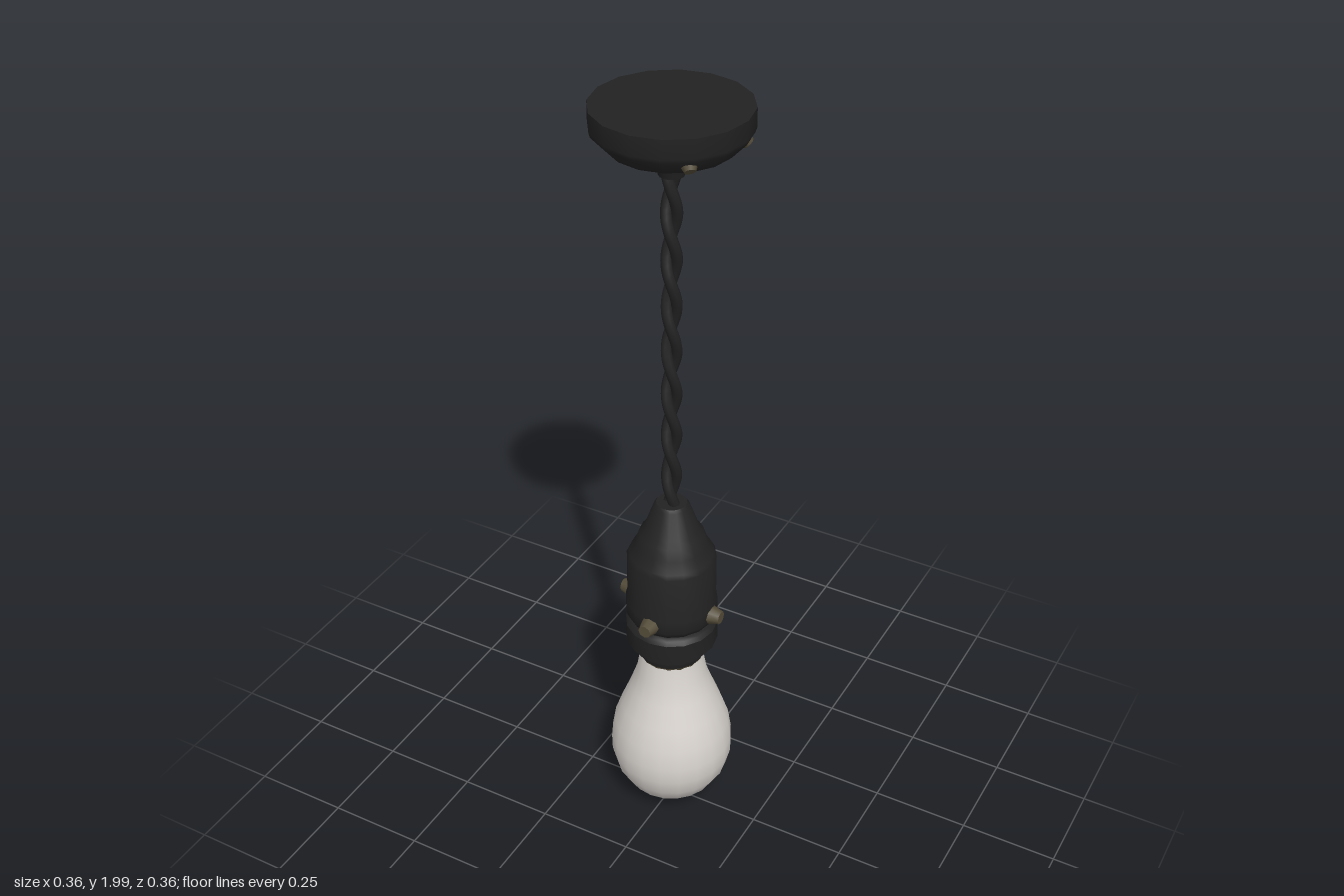
import * as THREE from 'three';
import { toCreasedNormals } from 'three/addons/utils/BufferGeometryUtils.js';

const black = new THREE.MeshStandardMaterial({ name: 'black', color: 0x222222 });
const brass = new THREE.MeshStandardMaterial({ name: 'agedBrass', color: 0x554d3a });
const glass = new THREE.MeshStandardMaterial({ name: 'frostedGlass', color: 0xd8d3ce });

// Turned part from [radius, y] pairs, listed bottom to top
function turned(name, profile, material, sides = 16, crease = 0.6) {
  const points = profile.map(([r, y]) => new THREE.Vector2(r, y));
  const geometry = toCreasedNormals(new THREE.LatheGeometry(points, sides), crease);
  const mesh = new THREE.Mesh(geometry, material);
  mesh.name = name;
  return mesh;
}

// Domed screw head pointing away from the axis, tilted downwards by tilt
function screw(name, angle, radius, y, size, length, tilt = 0) {
  const mesh = new THREE.Mesh(
    new THREE.CylinderGeometry(size * 0.65, size, length, 8), brass);
  mesh.name = name;
  mesh.position.set(Math.cos(angle) * radius, y, Math.sin(angle) * radius);
  const outward = new THREE.Vector3(
    Math.cos(angle) * Math.cos(tilt), -Math.sin(tilt), Math.sin(angle) * Math.cos(tilt));
  mesh.quaternion.setFromUnitVectors(new THREE.Vector3(0, 1, 0), outward);
  return mesh;
}

// One strand of the twisted cord
function strand(phase) {
  const points = [];
  const steps = 48;
  for (let i = 0; i <= steps; i++) {
    const t = i / steps;
    const a = phase + t * Math.PI * 2 * 4;
    points.push(new THREE.Vector3(Math.cos(a) * 0.012, 0.95 + t * 0.93, Math.sin(a) * 0.012));
  }
  const curve = new THREE.CatmullRomCurve3(points);
  const mesh = new THREE.Mesh(new THREE.TubeGeometry(curve, 96, 0.0135, 8), black);
  mesh.name = 'cordStrand';
  return mesh;
}

export function createModel() {
  const model = new THREE.Group();
  model.name = 'pendantLamp';

  // Ceiling canopy and its cord grip
  model.add(turned('canopy', [
    [0, 1.908], [0.143, 1.908], [0.178, 1.945], [0.181, 1.955], [0.181, 2], [0, 2],
  ], black));
  model.add(turned('cordGrip', [
    [0, 1.838], [0.03, 1.838], [0.036, 1.865], [0.055, 1.91],
  ], black, 12));
  for (const degrees of [48, -20, 165, 255]) {
    model.add(screw('canopyScrew', THREE.MathUtils.degToRad(degrees), 0.16, 1.926, 0.02, 0.016, 0.75));
  }

  // Twisted cord
  const cord = new THREE.Group();
  cord.name = 'cord';
  cord.add(strand(0), strand(Math.PI));
  model.add(cord);

  // Lamp holder: cone, shoulder and body, then the threaded ring below
  model.add(turned('holderBody', [
    [0, 0.622], [0.1, 0.622], [0.11, 0.632], [0.116, 0.645], [0.116, 0.68], [0.112, 0.695],
    [0.112, 0.81], [0.106, 0.822], [0.09, 0.85], [0.08, 0.88], [0.068, 0.895],
    [0.044, 0.962], [0.038, 0.97], [0, 0.97],
  ], black));
  model.add(turned('holderRing', [
    [0, 0.505], [0.084, 0.505], [0.088, 0.525], [0.1, 0.53], [0.1, 0.552], [0.117, 0.554],
    [0.117, 0.606], [0.11, 0.616], [0.1, 0.622], [0, 0.622],
  ], black));
  for (let i = 0; i < 4; i++) {
    model.add(screw('holderScrew', i * Math.PI / 2, 0.123, 0.66, 0.026, 0.034));
  }

  // Brass rim and bulb
  model.add(turned('bulbCollar', [
    [0, 0.497], [0.08, 0.497], [0.084, 0.506], [0, 0.506],
  ], brass));
  model.add(turned('bulb', [
    [0, 0.006], [0.008, 0.008], [0.014, 0.024], [0.034, 0.036], [0.08, 0.051], [0.118, 0.081],
    [0.146, 0.128], [0.158, 0.175], [0.159, 0.22], [0.15, 0.275], [0.131, 0.33],
    [0.107, 0.39], [0.09, 0.44], [0.08, 0.5],
  ], glass, 20, 1.2));

  return model;
}
